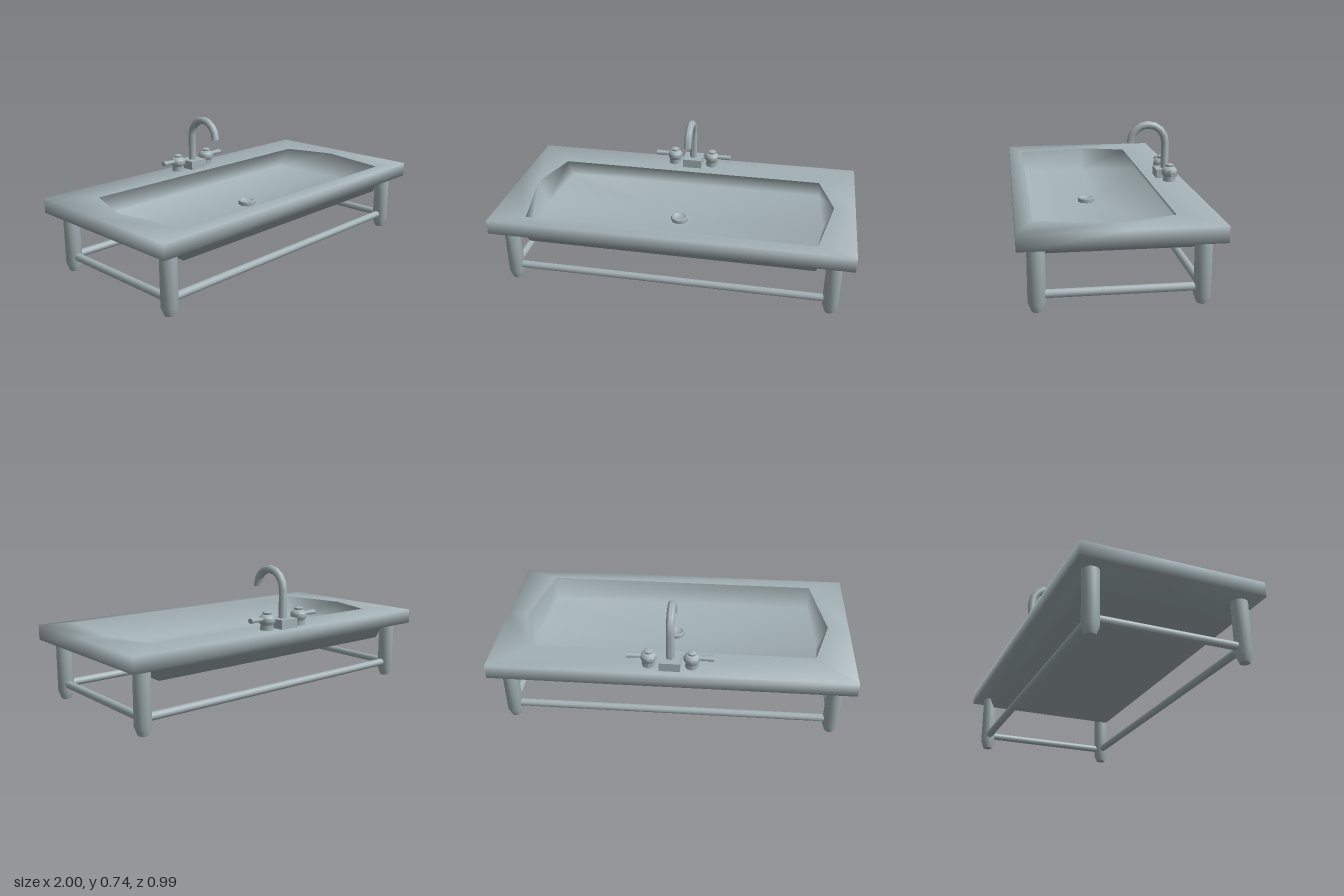
import * as THREE from 'three';
import { toCreasedNormals } from 'three/addons/utils/BufferGeometryUtils.js';

const ceramic = new THREE.MeshStandardMaterial({ color: 0xa3b1b5 });
ceramic.name = 'blue grey ceramic';

// Skins a sequence of rings, each a list of [x, y, z]
function loft(rings) {
  const n = rings[0].length, index = [];
  for (let r = 0; r < rings.length - 1; r++) {
    for (let i = 0; i < n; i++) {
      const j = (i + 1) % n;
      const a = r * n + i, a1 = r * n + j, b = a + n, b1 = a1 + n;
      index.push(a, b, a1, a1, b, b1);
    }
  }
  const g = new THREE.BufferGeometry();
  g.setAttribute('position', new THREE.Float32BufferAttribute(rings.flat(2), 3));
  g.setIndex(index);
  g.computeVertexNormals();
  return g;
}

// Six-sided ring: back corners, side points and front corners mirrored in x
function ring(y, [bx, bz], [mx, mz], [fx, fz]) {
  return [[-bx, y, bz], [bx, y, bz], [mx, y, mz], [fx, y, fz], [-fx, y, fz], [-mx, y, mz]];
}

// Cross-section of the spout: angle a runs round the gooseneck from 0 to PI
function spoutRing(a, y, z, radius) {
  return Array.from({ length: 10 }, (_, i) => {
    const t = i / 10 * Math.PI * 2, s = radius * Math.sin(t);
    return [radius * Math.cos(t), y - s * Math.sin(a), z + s * Math.cos(a)];
  });
}

function add(parent, name, geometry, x = 0, y = 0, z = 0) {
  const mesh = new THREE.Mesh(geometry, ceramic);
  mesh.name = name;
  mesh.position.set(x, y, z);
  parent.add(mesh);
  return mesh;
}

function turned(points, sides) {
  const g = new THREE.LatheGeometry(points.map(([r, y]) => new THREE.Vector2(r, y)), sides);
  return toCreasedNormals(g, 0.9);
}

export function createModel() {
  const model = new THREE.Group();
  model.name = 'washbasin';

  // Rim slab with the tub underneath, softly shaded
  const opening = ring(0.415, [0.79, -0.29], [0.88, 0], [0.8, 0.415]);
  add(model, 'rimAndShell', loft([
    ring(0.25, [0, 0], [0, 0], [0, 0]),
    ring(0.25, [0.8, -0.4], [0.8, 0], [0.8, 0.4]),
    ring(0.332, [0.84, -0.42], [0.86, 0], [0.84, 0.42]),
    ring(0.332, [1, -0.494], [1, 0], [1, 0.494]),
    ring(0.415, [1, -0.494], [1, 0], [1, 0.494]),
    opening,
  ]));

  // Broad flat bowl whose back runs under the deck
  add(model, 'bowl', loft([
    opening,
    ring(0.275, [0.8, -0.385], [0.83, 0], [0.8, 0.395]),
    ring(0.275, [0, 0], [0, 0], [0, 0]),
  ]));

  // Drain
  add(model, 'drain', turned([[0.05, 0], [0.05, 0.022], [0.04, 0.025], [0.032, 0.017], [0, 0.017]], 8), 0, 0.275, 0.06);

  // Legs and the rails between them
  const leg = turned([[0, 0], [0.027, 0], [0.044, 0.045], [0.044, 0.333]], 12);
  const longRail = new THREE.CylinderGeometry(0.0215, 0.0215, 1.74, 10).rotateZ(Math.PI / 2);
  const sideRail = new THREE.CylinderGeometry(0.0215, 0.0215, 0.74, 10).rotateX(Math.PI / 2);
  for (const s of [-1, 1]) {
    for (const t of [-1, 1]) add(model, 'leg', leg, s * 0.898, 0, t * 0.401);
    add(model, 'longRail', longRail, 0, 0.084, s * 0.401);
    add(model, 'sideRail', sideRail, s * 0.898, 0.084, 0);
  }

  // Faucet block and gooseneck spout
  const faucet = new THREE.Group();
  faucet.name = 'faucet';
  model.add(faucet);
  add(faucet, 'faucetBase', new THREE.BoxGeometry(0.115, 0.052, 0.115), 0, 0.44, -0.406);
  const spout = [spoutRing(0, 0.46, -0.407, 0.0225)];
  for (let i = 0; i <= 8; i++) {
    const a = Math.PI * i / 8;
    spout.push(spoutRing(a, 0.62 + 0.103 * Math.sin(a), -0.304 - 0.103 * Math.cos(a), 0.0225));
  }
  spout.push(spoutRing(Math.PI, 0.62, -0.201, 0));
  add(faucet, 'spout', toCreasedNormals(loft(spout), 0.9));

  // Tap handles with outward levers
  const knob = turned([[0.038, 0], [0.034, 0.03], [0.045, 0.045], [0.045, 0.068], [0.03, 0.084],
    [0.022, 0.086], [0.025, 0.092], [0.025, 0.097], [0.016, 0.102], [0, 0.102]], 8);
  const lever = new THREE.CylinderGeometry(0.018, 0.014, 0.1, 8).rotateZ(-Math.PI / 2);
  for (const s of [-1, 1]) {
    const handle = new THREE.Group();
    handle.name = s > 0 ? 'leftHandle' : 'rightHandle';
    handle.position.set(s * 0.117, 0.413, -0.41);
    handle.rotation.y = s > 0 ? 0 : Math.PI;
    faucet.add(handle);
    add(handle, 'knob', knob);
    add(handle, 'lever', lever, 0.067, 0.062, 0).scale.set(1, 0.8, 1.1);
  }
  return model;
}
